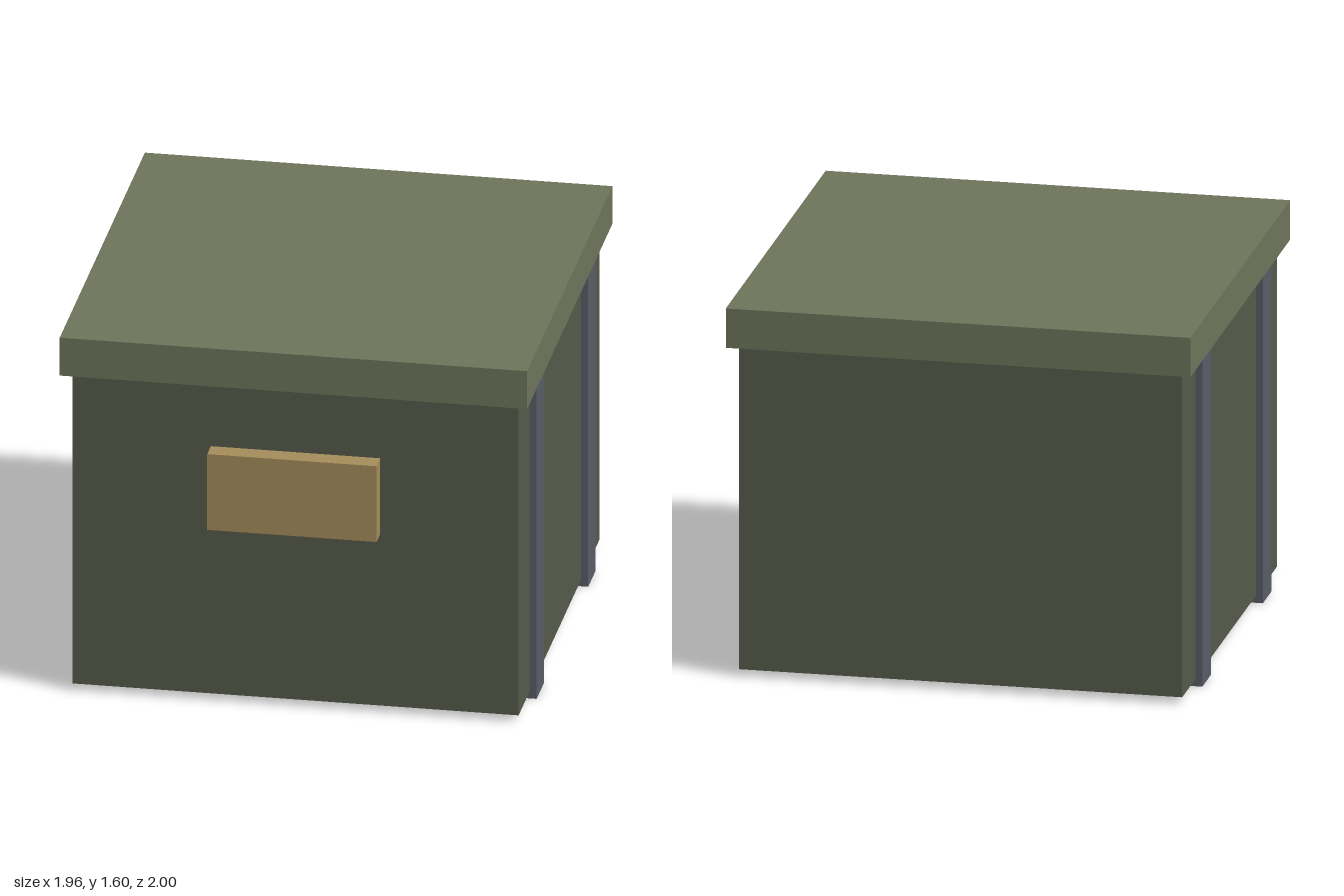
import * as THREE from 'three';

// Box given by its minimum and maximum corners
function box(name, color, min, max) {
  const size = max.map((v, i) => v - min[i]);
  const mesh = new THREE.Mesh(
    new THREE.BoxGeometry(...size),
    new THREE.MeshStandardMaterial({ color })
  );
  mesh.position.set(...max.map((v, i) => (v + min[i]) / 2));
  mesh.name = name;
  return mesh;
}

export function createModel() {
  const crate = new THREE.Group();
  crate.name = 'crate';

  // Body, overhanging lid and front latch plate
  crate.add(box('body', 0x565b4a, [-0.935, 0.03, -0.95], [0.935, 1.43, 0.915]));
  crate.add(box('lid', 0x6e755b, [-0.98, 1.43, -1], [0.98, 1.6, 0.965]));
  crate.add(box('latchPlate', 0xa58c5b, [-0.355, 0.8, 0.915], [0.355, 1.14, 1]));

  // Two straps wrapping the sides and the bottom
  for (const [name, z] of [['frontStrap', 0.58], ['backStrap', -0.61]]) {
    crate.add(box(name, 0x595d66, [-0.965, 0, z - 0.083], [0.965, 1.43, z + 0.083]));
  }
  return crate;
}
